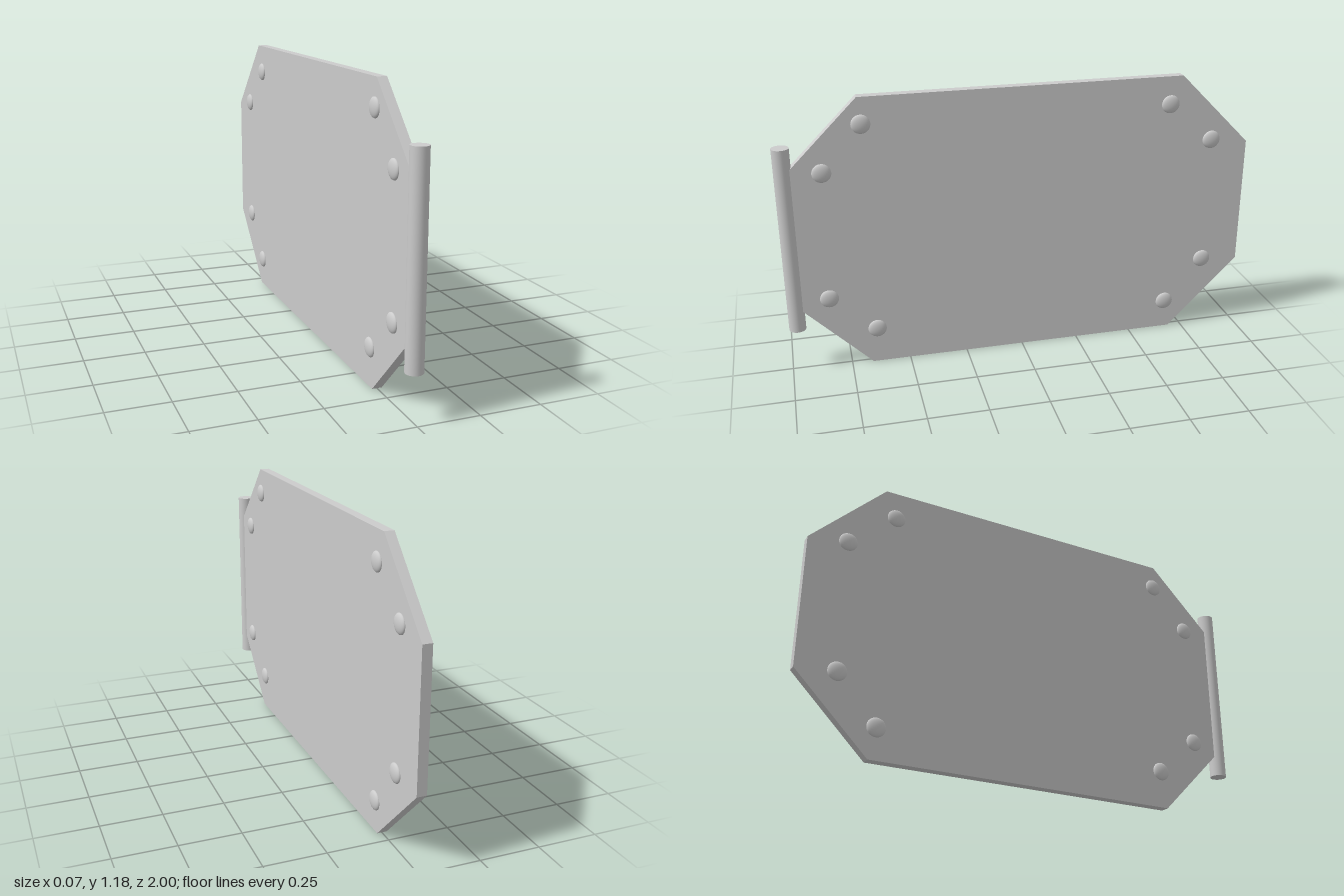
import * as THREE from 'three';

export function createModel() {
  const group = new THREE.Group();
  const material = new THREE.MeshStandardMaterial({ color: 0xcccccc });
  const add = (geometry, name, parent = group) => {
    const mesh = new THREE.Mesh(geometry, material);
    mesh.name = name;
    parent.add(mesh);
    return mesh;
  };

  // Flat panel with clipped corners, drawn as (z, y) and turned to face sideways
  const thickness = 0.04;
  const outline = [
    [0.97, 0.31], [0.97, 0.87], [0.66, 1.18], [-0.69, 1.18],
    [-1, 0.87], [-1, 0.31], [-0.69, 0], [0.66, 0],
  ].map(([z, y]) => new THREE.Vector2(-z, y));
  const panel = new THREE.ExtrudeGeometry(new THREE.Shape(outline), {
    depth: thickness, bevelEnabled: false,
  });
  panel.translate(0, 0, -thickness / 2).rotateY(Math.PI / 2);
  add(panel, 'panel');

  // Upright hinge rod along the front edge
  const rod = add(new THREE.CylinderGeometry(0.035, 0.035, 0.8, 32), 'hingeRod');
  rod.position.set(0, 0.59, 0.965);

  // Domed rivets, a pair at each corner, on both faces
  const rivets = new THREE.Group();
  rivets.name = 'rivets';
  group.add(rivets);
  const dome = new THREE.SphereGeometry(1, 32, 16);
  dome.scale(0.015, 0.039, 0.039);
  const spots = [
    [0.65, 1.07], [0.815, 0.88], [-0.64, 1.06], [-0.835, 0.89],
    [0.825, 0.325], [0.635, 0.16], [-0.833, 0.325], [-0.665, 0.13],
  ];
  for (const [z, y] of spots) {
    for (const side of [-1, 1]) {
      add(dome, side > 0 ? 'leftRivet' : 'rightRivet', rivets)
        .position.set(side * 0.021, y, z);
    }
  }
  return group;
}
